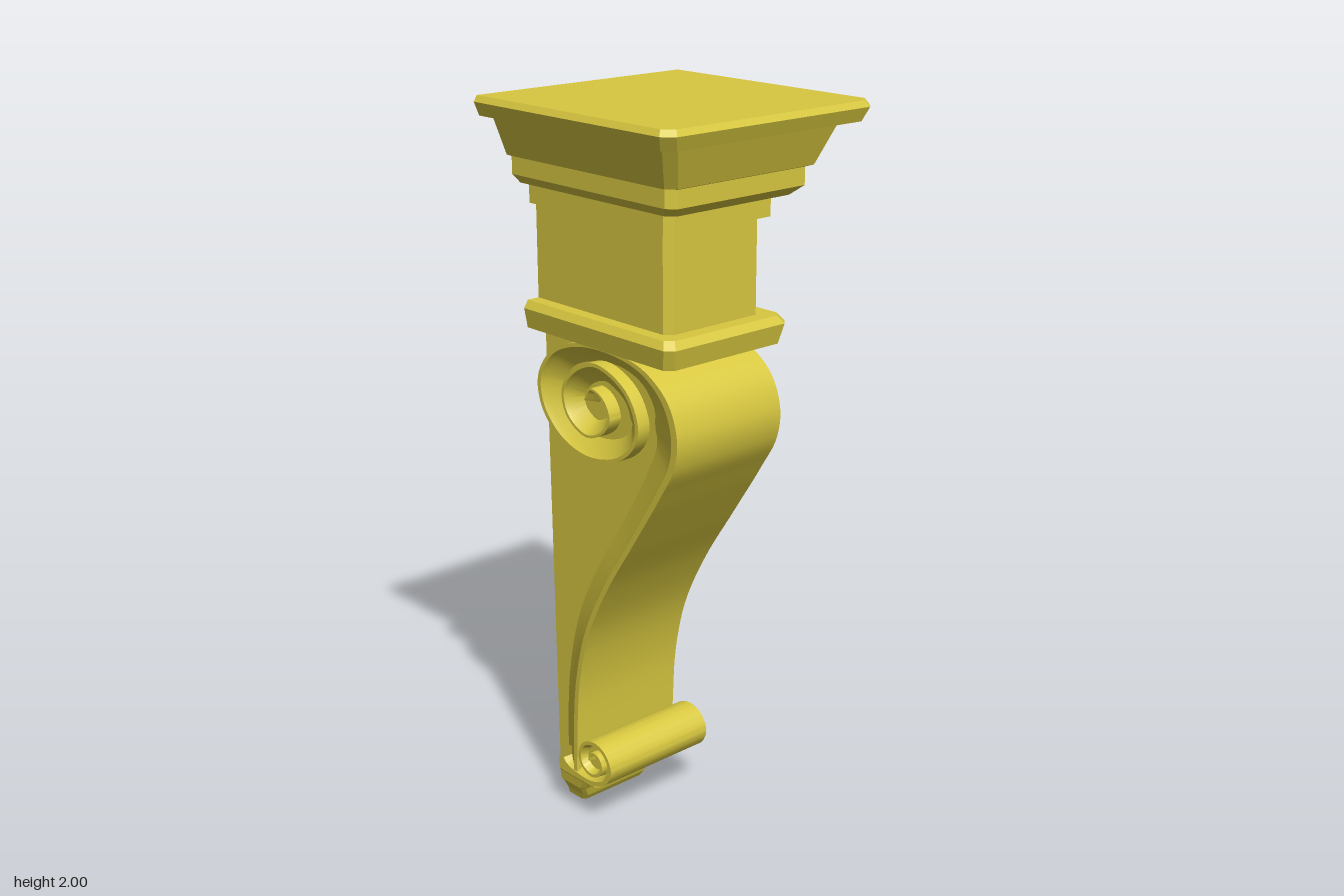
import * as THREE from 'three';
import { toCreasedNormals } from 'three/addons/utils/BufferGeometryUtils.js';

const material = new THREE.MeshStandardMaterial({ color: 0xd8c840, side: THREE.DoubleSide });
const PANEL_X = 0.14, RIM_X = 0.178;

// Surface through rows of [x, y, z] points
function loft(rows, crease) {
  const n = rows[0].length, index = [];
  for (let i = 0; i < rows.length - 1; i++) {
    for (let j = 0; j < n - 1; j++) {
      const a = i * n + j, b = a + n;
      index.push(a, a + 1, b, b, a + 1, b + 1);
    }
  }
  const g = new THREE.BufferGeometry();
  g.setAttribute('position', new THREE.Float32BufferAttribute(rows.flat(2), 3));
  g.setIndex(index);
  return toCreasedNormals(g, crease);
}

// Flat sheet in the side plane, from a [z, y] outline
function sideSheet(outline, x) {
  const g = new THREE.ShapeGeometry(new THREE.Shape(outline.map(p => new THREE.Vector2(-p[0], p[1]))));
  return g.rotateY(Math.PI / 2).translate(x, 0, 0);
}

// Three-sided moulding with clipped front corners; levels are [y, half width, front z, clip]
function moulding(levels, backZ) {
  const rows = levels.map(([y, w, z, c]) => [
    [w, y, backZ], [w, y, z - c], [w - c, y, z], [c - w, y, z], [-w, y, z - c], [-w, y, backZ],
  ]);
  return loft(rows, 0.15);
}

function plate([y, w, z, c], backZ) {
  const s = new THREE.Shape([[w, backZ], [w, z - c], [w - c, z], [c - w, z], [-w, z - c], [-w, backZ]]
    .map(p => new THREE.Vector2(p[0], -p[1])));
  return new THREE.ShapeGeometry(s).rotateX(-Math.PI / 2).translate(0, y, 0);
}

// Sample a [z, y, band width] path: outer point plus inward normal
function samplePath(points, steps) {
  const curve = new THREE.CatmullRomCurve3(points.map(([z, y, w]) => new THREE.Vector3(w, y, z)));
  return Array.from({ length: steps + 1 }, (_, i) => {
    const p = curve.getPoint(i / steps), t = curve.getTangent(i / steps);
    const l = Math.hypot(t.y, t.z) || 1;
    return { z: p.z, y: p.y, w: p.x, nz: -t.y / l, ny: t.z / l };
  });
}

// Raised scroll band: section entries are [fraction of band width, x]
const band = (path, section, side) => loft(path.map(p =>
  section.map(([f, x]) => [side * x, p.y + p.ny * p.w * f, p.z + p.nz * p.w * f])), 0.5);

const skin = path => loft(path.map(p => [[RIM_X, p.y, p.z], [-RIM_X, p.y, p.z]]), 0.7);

export function createModel() {
  const group = new THREE.Group();
  const add = (name, geometry) => {
    const m = new THREE.Mesh(geometry, material);
    m.name = name;
    group.add(m);
  };

  // Stepped capital, open at the back
  const cap = [
    [2.0, 0.33, 0.34, 0.025], [1.985, 0.34, 0.35, 0.028], [1.95, 0.325, 0.335, 0.026],
    [1.945, 0.285, 0.295, 0.025], [1.845, 0.245, 0.255, 0.022], [1.84, 0.23, 0.24, 0.022],
    [1.795, 0.23, 0.24, 0.022], [1.77, 0.205, 0.21, 0.02], [1.765, 0.178, 0.175, 0.02],
    [1.715, 0.178, 0.175, 0.02], [1.715, 0.157, 0.15, 0.02], [1.465, 0.157, 0.15, 0.02],
    [1.465, 0.192, 0.19, 0.02], [1.445, 0.205, 0.205, 0.02], [1.392, 0.195, 0.192, 0.02],
  ];
  add('capitalMoulding', moulding(cap, -0.35));
  add('capitalTop', plate(cap[0], -0.35));
  add('capitalUnderside', plate(cap[cap.length - 1], -0.35));

  // S-curved front running into the large side volute
  const sCurve = [
    [-0.207, 0.14, 0.08], [-0.203, 0.24, 0.085], [-0.19, 0.41, 0.085], [-0.15, 0.57, 0.085],
    [-0.07, 0.73, 0.085], [0.035, 0.89, 0.085], [0.14, 1.05, 0.095], [0.192, 1.14, 0.11],
    [0.203, 1.22, 0.12], [0.17, 1.305, 0.11], [0.085, 1.367, 0.075], [-0.03, 1.39, 0.05],
  ];
  const volute = [
    [-0.18, 1.383, 0.055], [-0.28, 1.34, 0.06], [-0.335, 1.26, 0.07], [-0.322, 1.18, 0.07],
    [-0.25, 1.11, 0.06], [-0.14, 1.08, 0.055], [-0.02, 1.105, 0.055], [0.045, 1.16, 0.06],
    [0.06, 1.22, 0.07], [0.015, 1.30, 0.065], [-0.1, 1.345, 0.055], [-0.19, 1.31, 0.05],
    [-0.238, 1.245, 0.05], [-0.22, 1.18, 0.045], [-0.145, 1.14, 0.04], [-0.075, 1.165, 0.04],
    [-0.048, 1.21, 0.04], [-0.075, 1.26, 0.035], [-0.125, 1.275, 0.03], [-0.148, 1.24, 0.02],
  ];
  const bandPath = samplePath([...sCurve, ...volute], 186);
  const front = bandPath.slice(0, 6 * 11 + 1);
  add('frontCurve', skin(front));

  // Small roll at the foot, curling forward
  const roll = [
    [-0.292, 0.27, 0.03], [-0.292, 0.19, 0.03], [-0.265, 0.14, 0.028], [-0.2, 0.123, 0.026],
    [-0.13, 0.127, 0.025], [-0.08, 0.155, 0.024], [-0.062, 0.2, 0.024], [-0.085, 0.243, 0.023],
    [-0.13, 0.26, 0.022], [-0.18, 0.242, 0.02], [-0.2, 0.2, 0.02], [-0.185, 0.165, 0.018],
    [-0.145, 0.15, 0.017], [-0.108, 0.168, 0.016], [-0.1, 0.2, 0.015], [-0.12, 0.225, 0.014],
    [-0.15, 0.222, 0.012], [-0.158, 0.198, 0.01],
  ];
  const rollPath = samplePath(roll, 102);
  add('footRoll', skin(rollPath.slice(3 * 6, 10 * 6 + 1)));

  const railSection = [[0, PANEL_X], [0, RIM_X], [0.18, RIM_X], [0.36, 0.166], [1, PANEL_X]];
  const rollSection = [[0, 0.15], [0, RIM_X], [0.5, RIM_X], [1, 0.158]];
  const panelOutline = [[-0.345, 1.392], [-0.327, 0.1], [-0.26, 0.1], [-0.21, 0.13],
    ...front.map(p => [p.z, p.y])];
  const rollOutline = rollPath.slice(6, 61).map(p => [p.z, p.y]);

  for (const [name, side] of [['left', 1], ['right', -1]]) {
    add(name + 'Panel', sideSheet(panelOutline, side * PANEL_X));
    add(name + 'ScrollBand', band(bandPath, railSection, side));
    add(name + 'RollBand', band(rollPath.slice(10), rollSection, side));
    add(name + 'RollEnd', sideSheet(rollOutline, side * 0.157));
  }

  // Stepped, tapering foot below the roll
  const foot = [
    [0.13, 0.145, -0.16, 0.01], [0.09, 0.145, -0.165, 0.01], [0.085, 0.142, -0.215, 0.01],
    [0.055, 0.138, -0.235, 0.01], [0.05, 0.132, -0.238, 0.01], [0.018, 0.115, -0.25, 0.01],
    [0.0, 0.11, -0.262, 0.01],
  ];
  add('footMoulding', moulding(foot, -0.326));
  add('footUnderside', plate(foot[foot.length - 1], -0.326));

  return group;
}
